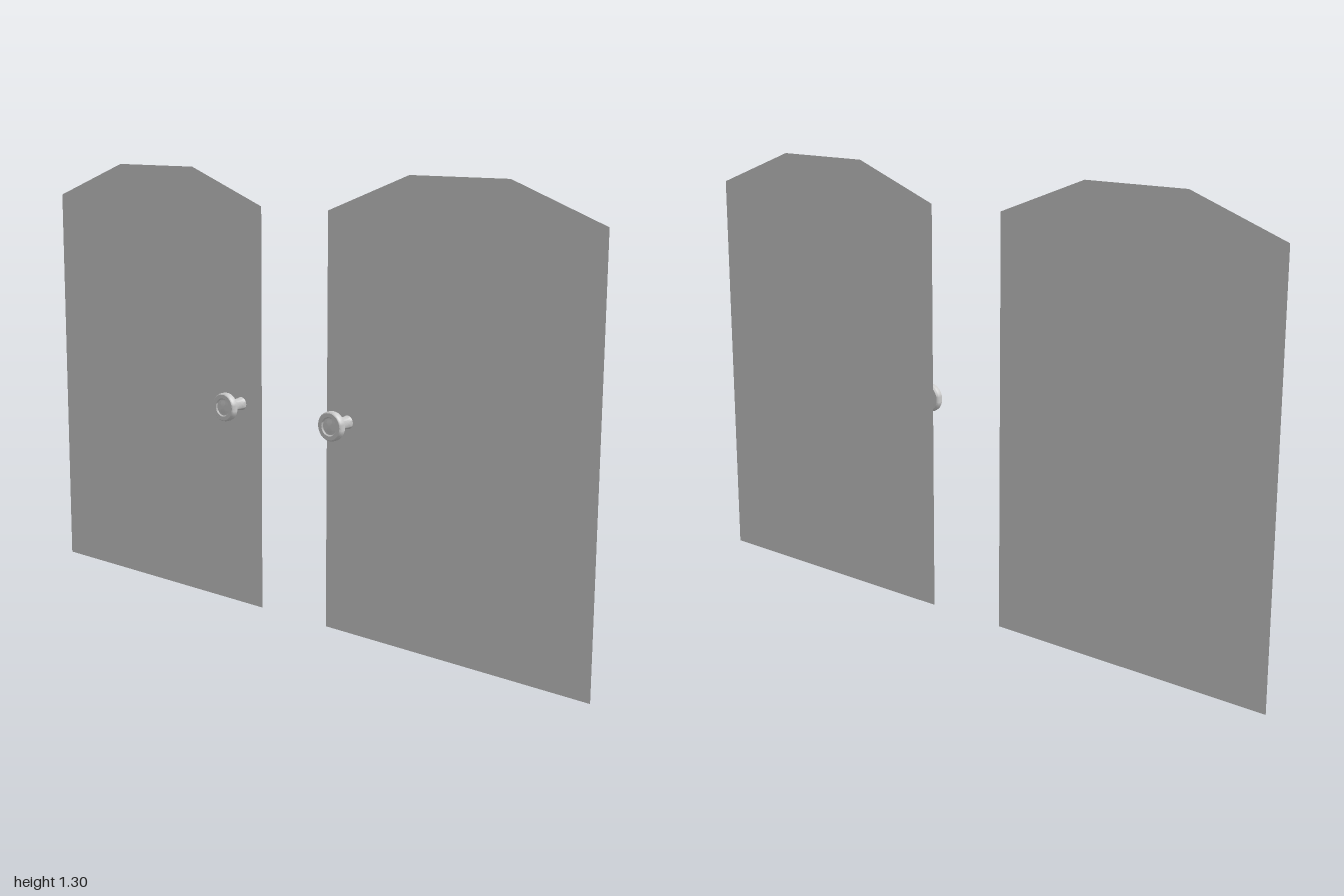
import * as THREE from 'three';
import { toCreasedNormals } from 'three/addons/utils/BufferGeometryUtils.js';

export function createModel() {
  const model = new THREE.Group();
  model.name = 'doublePanelDoors';
  const panelMat = new THREE.MeshStandardMaterial({ color: 0xcccccc, side: THREE.DoubleSide });
  const knobMat = new THREE.MeshStandardMaterial({ color: 0xcccccc, side: THREE.DoubleSide });
  const panelX = 0.04;

  // Thin door leaf with clipped top corners, drawn in (z, y)
  const outline = [[0.125, 0], [1, 0], [1, 1.2], [0.718, 1.305], [0.403, 1.305], [0.125, 1.2]];
  const panelGeo = new THREE.ShapeGeometry(new THREE.Shape(outline.map(([z, y]) => new THREE.Vector2(z, y))));
  panelGeo.rotateY(-Math.PI / 2); // shape x becomes z

  // Turned knob: flared stem, rounded head, ringed face
  const profile = [
    [0.0195, -0.04], [0.0175, -0.028], [0.017, -0.005], [0.018, 0.008], [0.021, 0.016],
    [0.038, 0.017], [0.041, 0.02], [0.042, 0.024], [0.042, 0.034], [0.041, 0.038], [0.038, 0.041],
    [0.027, 0.041], [0.024, 0.037], [0.018, 0.037], [0.015, 0.039], [0, 0.04],
  ].map(([r, h]) => new THREE.Vector2(r, h));
  const knobGeo = toCreasedNormals(new THREE.LatheGeometry(profile, 32), 0.6);
  knobGeo.rotateZ(Math.PI / 2); // head points to -x

  for (const [side, label, knobZ] of [[1, 'front', 0.2], [-1, 'rear', -0.207]]) {
    const panel = new THREE.Mesh(panelGeo, panelMat);
    panel.name = label + 'DoorPanel';
    panel.position.x = panelX;
    panel.scale.z = side;

    const knob = new THREE.Mesh(knobGeo, knobMat);
    knob.name = label + 'Knob';
    knob.position.set(0, 0.615, knobZ);
    model.add(panel, knob);
  }
  return model;
}
